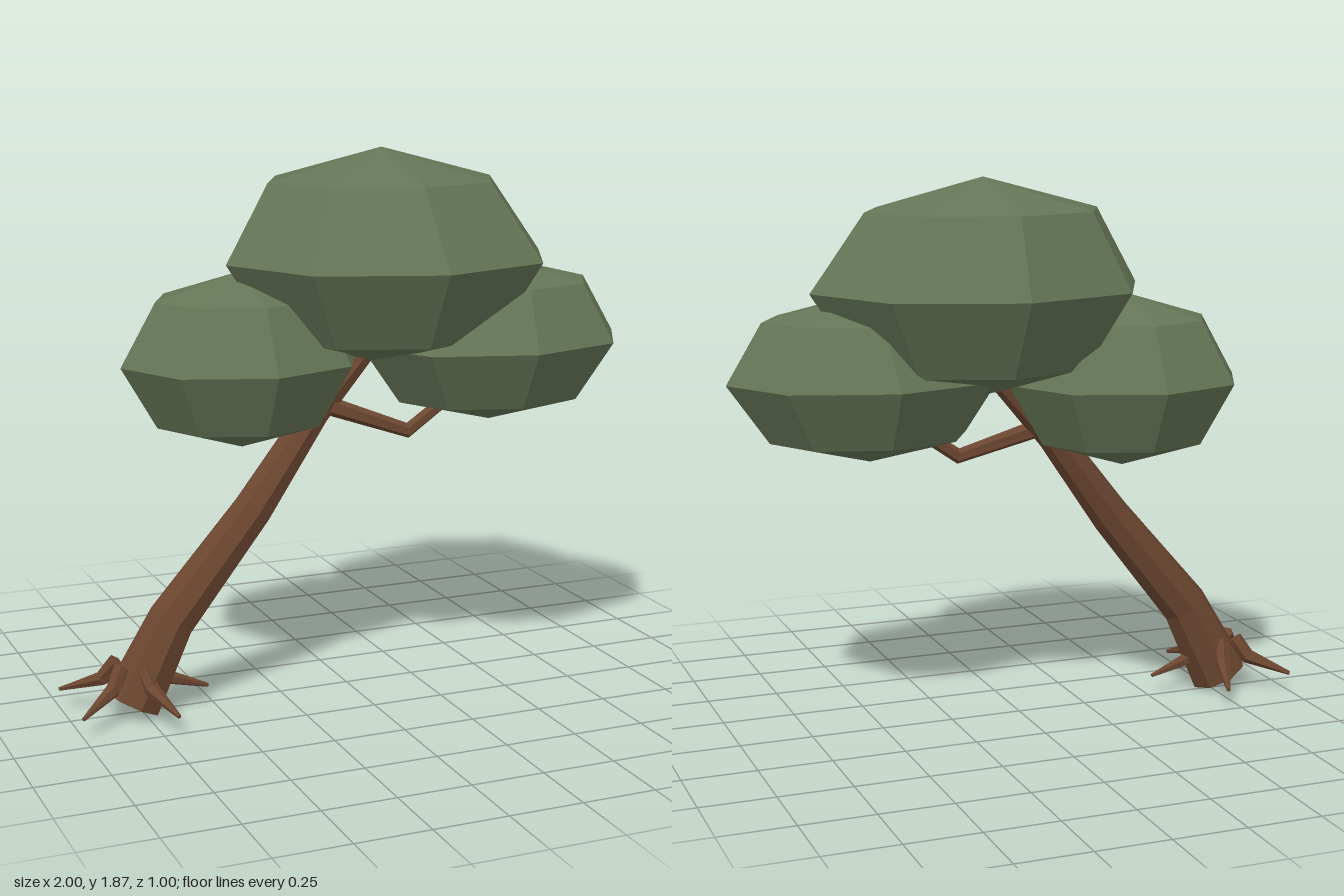
import * as THREE from 'three';

const bark = new THREE.MeshStandardMaterial({ color: 0x6b4630, flatShading: true });
bark.name = 'bark brown';
const leaf = new THREE.MeshStandardMaterial({ color: 0x657556, flatShading: true });
leaf.name = 'leaf green';

// Tapered faceted limb: points are [x, y, z, radius]
function limb(name, points, sides) {
  const p = points.map(([x, y, z]) => new THREE.Vector3(x, y, z));
  const n = p.length;
  const whole = p[n - 1].clone().sub(p[0]).normalize();
  const ref = Math.abs(whole.z) < 0.7 ? new THREE.Vector3(0, 0, 1) : new THREE.Vector3(1, 0, 0);
  const pos = [], index = [];
  for (let i = 0; i < n; i++) {
    const t = new THREE.Vector3();
    if (i > 0) t.add(p[i].clone().sub(p[i - 1]).normalize());
    if (i < n - 1) t.add(p[i + 1].clone().sub(p[i]).normalize());
    t.normalize();
    const u = new THREE.Vector3().crossVectors(ref, t).normalize();
    const v = new THREE.Vector3().crossVectors(t, u);
    for (let j = 0; j < sides; j++) {
      const a = (j / sides) * Math.PI * 2;
      const q = p[i].clone().addScaledVector(u, Math.cos(a) * points[i][3]).addScaledVector(v, Math.sin(a) * points[i][3]);
      pos.push(q.x, q.y, q.z);
    }
  }
  for (let i = 0; i < n - 1; i++) {
    for (let j = 0; j < sides; j++) {
      const a = i * sides + j, b = i * sides + (j + 1) % sides;
      index.push(a, b, b + sides, a, b + sides, a + sides);
    }
  }
  // End caps
  const last = (n - 1) * sides;
  for (let j = 1; j < sides - 1; j++) {
    index.push(0, j + 1, j, last, last + j, last + j + 1);
  }
  const geo = new THREE.BufferGeometry();
  geo.setAttribute('position', new THREE.Float32BufferAttribute(pos, 3));
  geo.setIndex(index);
  geo.computeVertexNormals();
  const mesh = new THREE.Mesh(geo, bark);
  mesh.name = name;
  return mesh;
}

// Eight-sided leaf clump; the upper ring can be nudged sideways
function clump(name, center, radii, nudge = [0, 0]) {
  const geo = new THREE.SphereGeometry(1, 8, 4);
  geo.scale(...radii);
  const pos = geo.attributes.position;
  for (let i = 0; i < pos.count; i++) {
    if (pos.getY(i) > radii[1] * 0.5) {
      pos.setX(i, pos.getX(i) + nudge[0]);
      pos.setZ(i, pos.getZ(i) + nudge[1]);
    }
  }
  geo.translate(...center);
  geo.computeVertexNormals();
  const mesh = new THREE.Mesh(geo, leaf);
  mesh.name = name;
  return mesh;
}

export function createModel() {
  const tree = new THREE.Group();
  tree.name = 'leaningTree';

  // Leaning trunk, running on into the top clump
  tree.add(limb('trunk', [
    [-0.79, 0.055, 0.02, 0.105],
    [-0.65, 0.325, 0.025, 0.085],
    [-0.355, 0.68, 0.025, 0.07],
    [-0.12, 0.99, 0.0, 0.055],
    [0.1, 1.23, 0.0, 0.04],
  ], 8));

  // Side branches
  tree.add(limb('leftBranch', [
    [-0.12, 1.03, 0.0, 0.034],
    [0.19, 0.92, 0.09, 0.027],
    [0.38, 1.05, 0.09, 0.022],
  ], 6));
  tree.add(limb('rightBranch', [
    [-0.19, 0.9, 0.01, 0.03],
    [-0.25, 1.0, 0.0, 0.025],
    [-0.3, 1.12, -0.03, 0.02],
  ], 6));

  // Five roots spread evenly around the base
  const roots = new THREE.Group();
  roots.name = 'roots';
  for (let i = 0; i < 5; i++) {
    const a = (i / 5) * Math.PI * 2;
    const at = (r, y, radius) => [-0.785 + Math.cos(a) * r, y, 0.015 + Math.sin(a) * r, radius];
    roots.add(limb('root', [at(0.06, 0.19, 0.028), at(0.11, 0.125, 0.027), at(0.265, 0.073, 0.007)], 6));
  }
  tree.add(roots);

  // Leaf clumps
  tree.add(clump('topLeaves', [0.15, 1.51, 0], [0.58, 0.37, 0.5], [-0.01, -0.03]));
  tree.add(clump('rightLeaves', [-0.36, 1.18, -0.06], [0.42, 0.3, 0.365]));
  tree.add(clump('leftLeaves', [0.515, 1.215, 0.06], [0.485, 0.285, 0.365], [0.02, 0]));
  return tree;
}
